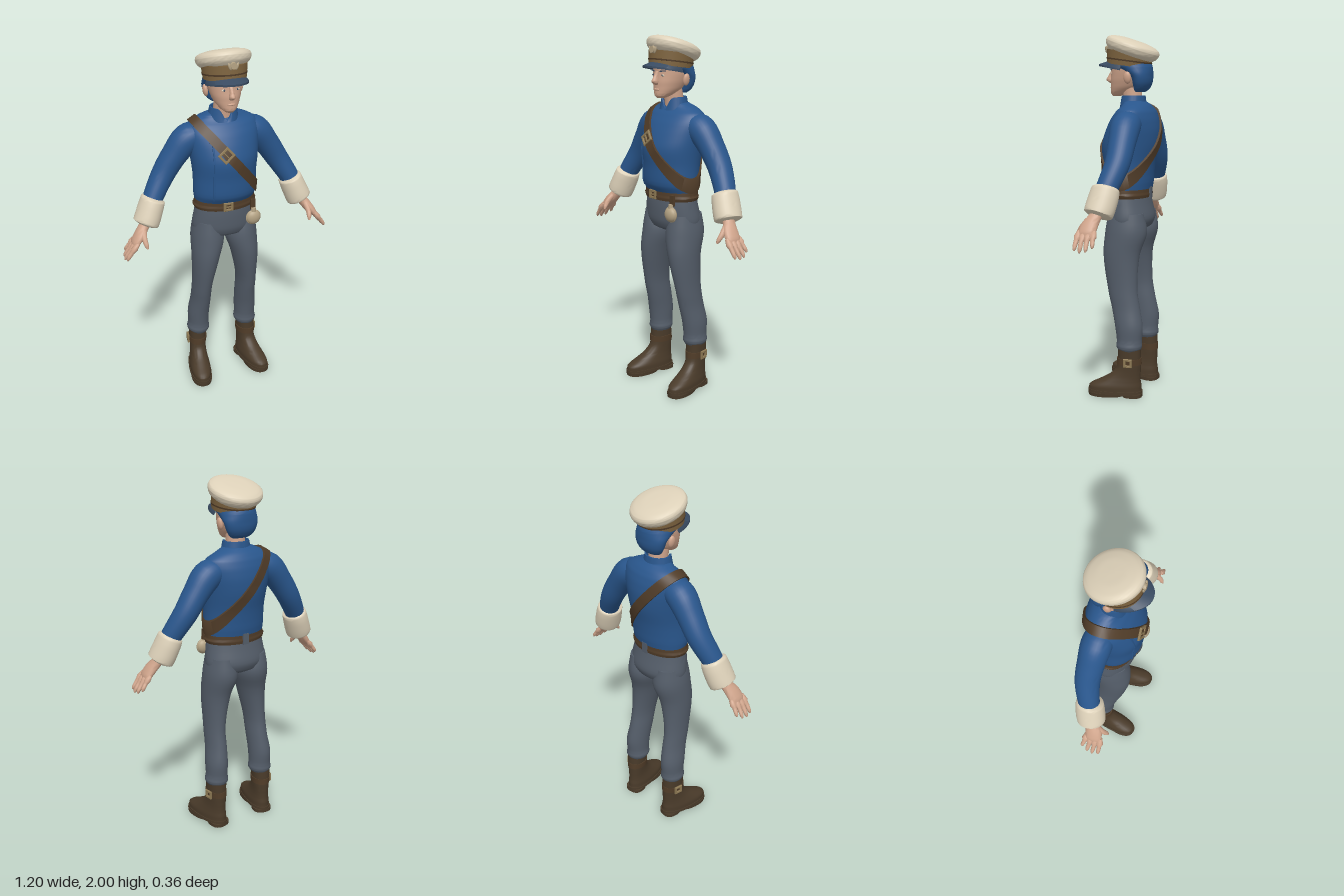
import * as THREE from 'three';
import { toCreasedNormals } from 'three/addons/utils/BufferGeometryUtils.js';

const V = (x, y, z) => new THREE.Vector3(x, y, z);
const mat = (name, color) => {
  const m = new THREE.MeshStandardMaterial({ color });
  m.name = name;
  return m;
};

// Skin a list of point rings; ends are capped, or joined when loop is set
function grid(rings, { loop = false, cap = true } = {}) {
  const n = rings[0].length, m = rings.length, pos = [], idx = [];
  rings.forEach(r => r.forEach(p => pos.push(p.x, p.y, p.z)));
  for (let i = 0; i < (loop ? m : m - 1); i++) {
    for (let j = 0; j < n; j++) {
      const a = i * n + j, b = i * n + (j + 1) % n, i2 = ((i + 1) % m) * n;
      const c = i2 + (j + 1) % n, d = i2 + j;
      idx.push(a, b, c, a, c, d);
    }
  }
  if (!loop && cap) {
    for (const [r, flip] of [[0, true], [m - 1, false]]) {
      const c = rings[r].reduce((s, p) => s.add(p), V(0, 0, 0)).divideScalar(n), k = pos.length / 3;
      pos.push(c.x, c.y, c.z);
      for (let j = 0; j < n; j++) {
        const a = r * n + j, b = r * n + (j + 1) % n;
        idx.push(...(flip ? [k, b, a] : [k, a, b]));
      }
    }
  }
  const g = new THREE.BufferGeometry();
  g.setAttribute('position', new THREE.Float32BufferAttribute(pos, 3));
  g.setIndex(idx);
  return toCreasedNormals(g, 0.9);
}

// Loft of superellipses; each section is [x, y, z, radius across, radius in depth]
function loft(sections, { flat = true, n = 2, seg = 32, steps = 4 } = {}) {
  const path = new THREE.CatmullRomCurve3(sections.map(s => V(s[0], s[1], s[2])));
  const size = new THREE.CatmullRomCurve3(sections.map(s => V(s[3], s[4], 0)));
  const count = (sections.length - 1) * steps, rings = [];
  const up = Math.sign(sections.at(-1)[1] - sections[0][1]);
  const pw = v => Math.sign(v) * Math.abs(v) ** (2 / n);
  for (let i = 0; i <= count; i++) {
    const c = path.getPoint(i / count), r = size.getPoint(i / count);
    const t = flat ? V(0, up, 0) : path.getTangent(i / count);
    const v = V(0, 0, 1).addScaledVector(t, -t.z).normalize();
    const u = t.clone().cross(v);
    rings.push(Array.from({ length: seg }, (_, j) => {
      const a = j / seg * Math.PI * 2;
      return c.clone().addScaledVector(u, pw(Math.sin(a)) * r.x).addScaledVector(v, pw(Math.cos(a)) * r.y);
    }));
  }
  return grid(rings);
}

// Shorthand for centred sections: [y, radius x, centre z, radius z]
const centred = (list, x = 0) => list.map(([y, rx, z, rz]) => [x, y, z, rx, rz]);

const TORSO = [[1.16, .172, -.008, .12], [1.2, .178, 0, .135], [1.3, .178, -.003, .142], [1.4, .188, -.01, .156],
  [1.48, .198, -.025, .145], [1.54, .203, -.036, .125], [1.585, .19, -.045, .1], [1.615, .14, -.048, .075], [1.64, .08, -.035, .058]];

// Distance from a point along a direction to the jacket surface
function reach(o, d) {
  let lo = 0, hi = 0.6;
  for (let k = 0; k < 24; k++) {
    const r = (lo + hi) / 2, p = o.clone().addScaledVector(d, r);
    let i = TORSO.findIndex(s => s[0] > p.y), inside = i !== -1;
    if (inside) {
      i = Math.max(i, 1);
      const A = TORSO[i - 1], B = TORSO[i], f = Math.max(0, (p.y - A[0]) / (B[0] - A[0]));
      const [, rx, z, rz] = A.map((v, q) => v + (B[q] - v) * f);
      inside = (p.x / rx) ** 2 + ((p.z - z) / rz) ** 2 < 1;
    }
    if (inside) lo = r; else hi = r;
  }
  return lo;
}

function buckleGeometry(w, h) {
  const s = new THREE.Shape(), k = new THREE.Path(), t = 0.009;
  const rect = (p, a, b) => p.moveTo(-a, -b).lineTo(a, -b).lineTo(a, b).lineTo(-a, b).closePath();
  rect(s, w / 2, h / 2);
  rect(k, w / 2 - t, h / 2 - t);
  s.holes.push(k);
  return new THREE.ExtrudeGeometry(s, { depth: 0.008, bevelSize: 0.002, bevelThickness: 0.002, bevelSegments: 1 });
}

export function createModel() {
  const root = new THREE.Group();
  root.name = 'uniformedFigure';
  const blue = mat('jacketBlue', 0x29568c), grey = mat('trouserGrey', 0x545d69), boot = mat('bootBrown', 0x4a3b2a);
  const leather = mat('strapLeather', 0x503c28), cream = mat('creamCloth', 0xdcd0b8), skin = mat('skin', 0xcfa48b);
  const bandMat = mat('bandOchre', 0x7f6540), visorMat = mat('visorSlate', 0x394b61);
  const metal = mat('buckleMetal', 0x8c7853), tan = mat('flaskTan', 0xb3a283);
  const add = (name, geo, m, parent = root) => {
    const mesh = new THREE.Mesh(geo, m);
    mesh.name = name;
    parent.add(mesh);
    return mesh;
  };
  const group = (name, x, y, z) => {
    const g = new THREE.Group();
    g.name = name;
    g.position.set(x, y, z);
    root.add(g);
    return g;
  };
  const blob = (name, m, p, s, parent = root) => {
    const b = add(name, new THREE.SphereGeometry(1, 24, 16), m, parent);
    b.position.set(...p);
    b.scale.set(...s);
    return b;
  };

  // Jacket, overlapping front edge and collar with a notch
  add('jacket', loft(centred(TORSO), { seg: 48 }), blue);
  const edge = [];
  for (let y = 1.18; y < 1.57; y += 0.03) {
    const z = reach(V(-.1, y, -.03), V(0, 0, 1)) - .03;
    edge.push([[-.105, .004], [-.105, -.01], [-.095, -.01], [-.095, .004]].map(([x, o]) => V(x, y, z + o)).reverse());
  }
  add('jacketFrontEdge', grid(edge), blue).geometry.computeBoundingSphere();
  const collarRing = (rx, rz, y, dip) => Array.from({ length: 48 }, (_, j) => {
    const a = j / 48 * Math.PI * 2, f = Math.atan2(Math.sin(a), Math.cos(a));
    return V(rx * Math.sin(a), y - dip * Math.exp(-((f / .4) ** 2)), -.026 + rz * Math.cos(a));
  });
  add('collar', grid([collarRing(.088, .075, 1.6, 0), collarRing(.073, .066, 1.67, .062),
    collarRing(.065, .058, 1.67, .062), collarRing(.065, .058, 1.6, 0)], { cap: false }), blue);

  // Cross strap wrapped around the chest from right shoulder to left waist
  const d1 = V(.64, -.768, 0), w = V(.768, .64, 0), rings = [];
  for (let i = 0; i < 72; i++) {
    const a = i / 72 * Math.PI * 2;
    const d = d1.clone().multiplyScalar(Math.cos(a)).add(V(0, 0, Math.sin(a)));
    rings.push([[.013, -.026], [.013, .026], [-.012, .026], [-.012, -.026]].map(([out, side]) => {
      const o = V(0, 1.415, -.01).addScaledVector(w, side);
      return o.clone().addScaledVector(d, reach(o, d) + out);
    }));
  }
  add('crossStrap', grid(rings, { loop: true }), leather);
  const sb = group('strapBuckle', -.04, 1.45, reach(V(-.04, 1.45, 0), V(0, 0, 1)) + .008);
  sb.rotation.set(-.2, -.08, -.876);
  add('buckleFrame', buckleGeometry(.06, .068), metal, sb);
  add('bucklePin', new THREE.BoxGeometry(.05, .007, .008), metal, sb).position.z = .008;

  // Trousers and belt
  add('hips', loft(centred([[.925, .1, -.02, .06], [.95, .168, -.02, .105], [1.0, .184, -.02, .123],
    [1.08, .174, -.01, .116], [1.16, .163, -.005, .105]]), { seg: 40 }), grey);
  add('belt', loft(centred([[1.112, .175, -.007, .118], [1.138, .175, -.007, .118], [1.166, .172, -.007, .117]]), { seg: 48 }), leather);
  add('beltBuckle', buckleGeometry(.05, .046), metal).position.set(-.02, 1.139, .11);
  add('beltPin', new THREE.BoxGeometry(.03, .006, .006), metal).position.set(-.02, 1.139, .117);
  add('backBeltLoop', new THREE.BoxGeometry(.035, .062, .012), grey).position.set(0, 1.139, -.126);

  // Flask hanging from the belt
  const flask = group('flask', .128, 1.05, .112);
  blob('flaskBody', tan, [0, 0, 0], [.042, .042, .027], flask);
  add('flaskRim', new THREE.TorusGeometry(.039, .006, 8, 32), tan, flask);
  add('flaskNeck', new THREE.CylinderGeometry(.013, .015, .025, 16), tan, flask).position.y = .045;
  add('flaskTab', new THREE.BoxGeometry(.028, .06, .014), leather, flask).position.set(0, .075, -.01);

  for (const s of [1, -1]) {
    const side = s > 0 ? 'left' : 'right';
    const mx = list => list.map(([x, ...r]) => [s * x, ...r]);

    // Leg
    add(side + 'TrouserLeg', loft(mx([[.105, 1.03, -.02, .07, .1], [.099, .92, -.018, .093, .119], [.117, .8, .002, .077, .104],
      [.137, .6, -.012, .055, .084], [.14, .5, -.032, .056, .081], [.148, .4, -.052, .061, .079], [.149, .32, -.055, .06, .071],
      [.15, .288, -.055, .066, .073], [.15, .265, -.055, .056, .063]])), grey);

    // Boot with split sole and ankle strap
    const b = group(side + 'Boot', s * .155, 0, -.06);
    b.rotation.y = s * .17;
    add('bootUpper', loft(centred([[.03, .06, .083, .151], [.055, .06, .082, .149], [.09, .053, .053, .115],
      [.12, .048, .027, .088], [.16, .047, .007, .069], [.21, .049, .002, .064], [.275, .052, .002, .063]]), { n: 2.3 }), boot, b);
    add('bootWelt', loft(centred([[.017, .064, .083, .155], [.034, .064, .083, .155]]), { n: 2.3, steps: 1 }), boot, b);
    add('bootHeel', loft(centred([[0, .055, -.015, .056], [.02, .056, -.015, .056]]), { n: 2.6, steps: 1 }), boot, b);
    add('bootSole', loft(centred([[0, .06, .135, .1], [.02, .062, .135, .102]]), { n: 2.3, steps: 1 }), boot, b);
    add('ankleStrap', loft(centred([[.187, .053, .003, .071], [.222, .055, .003, .069]]), { steps: 1 }), leather, b);
    const ab = add('ankleBuckle', buckleGeometry(.044, .044), metal, b);
    ab.position.set(s * .053, .204, .003);
    ab.rotation.y = s * Math.PI / 2;

    // Sleeve and turned-back cuff
    add(side + 'Sleeve', loft(mx([[.12, 1.535, -.045, .06, .07], [.195, 1.502, -.05, .08, .081], [.265, 1.42, -.055, .07, .073],
      [.33, 1.322, -.055, .064, .067], [.39, 1.225, -.032, .057, .06], [.42, 1.17, -.015, .053, .055]]), { flat: false }), blue);
    add(side + 'Cuff', loft(mx([[.401, 1.205, -.02, .05, .055], [.406, 1.194, -.019, .066, .074], [.42, 1.158, -.014, .069, .079],
      [.442, 1.104, -.004, .071, .08], [.457, 1.07, .003, .071, .077], [.462, 1.06, .005, .05, .055]]), { flat: false }), cream);

    // Hand with four fingers and thumb
    const h = group(side + 'Hand', 0, 0, 0);
    const limb = (name, list, seg = 12) => add(name, loft(mx(list), { flat: false, seg, steps: 3 }), skin, h);
    limb('palm', [[.445, 1.1, .005, .03, .034], [.475, 1.055, .015, .028, .035], [.505, 1.015, .032, .027, .046],
      [.532, .98, .038, .021, .047], [.545, .962, .039, .01, .038]], 20);
    for (let i = 0; i < 4; i++) {
      const z = .077 - i * .026, f = .082 - i * .031, l = [.92, 1, .95, .76][i];
      limb('finger' + (i + 1), [[.525, .99, z, .012, .013], [.525 + .036 * l, .99 - .045 * l, (z + f) / 2 + .002, .012, .013],
        [.525 + .065 * l, .99 - .085 * l, f, .01, .01], [.525 + .071 * l, .99 - .099 * l, f, .004, .004]]);
    }
    limb('thumb', [[.482, 1.045, .04, .018, .018], [.488, 1.01, .075, .015, .016], [.484, .98, .098, .012, .012], [.481, .963, .107, .005, .005]]);

    // Ear, eye and brow
    blob(side + 'Ear', skin, [s * .098, 1.765, -.025], [.014, .033, .021]).rotation.z = -s * .15;
    blob(side + 'Eye', cream, [s * .036, 1.79, .088], [.014, .006, .005]);
    blob(side + 'Pupil', visorMat, [s * .036, 1.79, .0915], [.005, .0055, .003]);
    const brow = add(side + 'Brow', new THREE.BoxGeometry(.034, .006, .008), visorMat);
    brow.position.set(s * .038, 1.812, .09);
    brow.rotation.set(0, s * .3, s * .1);
  }

  // Head
  add('neck', loft(centred([[1.57, .06, -.03, .055], [1.63, .053, -.025, .052], [1.73, .052, -.015, .055]])), skin);
  add('head', loft(centred([[1.668, .022, .07, .022], [1.682, .042, .052, .051], [1.715, .066, .02, .083], [1.755, .081, .004, .099],
    [1.8, .09, -.008, .106], [1.85, .092, -.01, .108], [1.89, .08, -.01, .09]]), { n: 2.1 }), skin);
  add('nose', loft(centred([[1.738, .008, .097, .012], [1.747, .015, .104, .019], [1.757, .016, .109, .024], [1.78, .011, .102, .019],
    [1.81, .01, .093, .01]]), { seg: 16 }), skin);
  blob('lips', skin, [0, 1.714, .099], [.021, .007, .008]);
  add('hair', loft(centred([[1.69, .05, -.065, .025], [1.705, .07, -.073, .038], [1.735, .088, -.078, .049], [1.775, .1, -.073, .059],
    [1.812, .105, -.04, .093], [1.835, .107, -.012, .117], [1.875, .105, -.008, .115]])), blue);

  // Cap: band, tilted crown, visor and plain badge
  const band = group('capBand', 0, 1.866, -.003);
  band.rotation.x = -.14;
  add('bandRing', loft(centred([[-.036, .113, 0, .121], [.04, .121, 0, .13]]), { seg: 48, steps: 1 }), bandMat, band);
  add('bandTrim', loft(centred([[-.012, .118, 0, .1265], [-.004, .119, 0, .1275]]), { seg: 48, steps: 1 }), leather, band);
  const crown = group('capCrown', 0, 1.92, -.018);
  crown.rotation.x = -.33;
  add('crownTop', loft(centred([[-.035, .112, 0, .122], [-.014, .138, 0, .145], [.01, .146, 0, .153], [.028, .141, 0, .147],
    [.041, .118, 0, .123], [.05, .07, 0, .073], [.052, .004, 0, .004]]), { seg: 48 }), cream);
  crown.add(root.getObjectByName('crownTop'));
  const visor = [];
  for (let i = 0; i <= 32; i++) {
    const a = (i / 16 - 1) * 1.45, e = .054 * Math.cos(a) ** .7 + .004, y = 1.822 + .032 * Math.cos(a);
    const at = (r, h) => V((.108 + r * .35) * Math.sin(a), h, -.003 + (.118 + r) * Math.cos(a));
    visor.push([at(e, y - .012), at(e, y - .022), at(-.012, y - .006), at(-.012, y + .01)]);
  }
  add('capVisor', grid(visor), visorMat);
  const badge = group('capBadge', 0, 1.925, .128);
  badge.rotation.x = -.05;
  add('badgeDisc', new THREE.CylinderGeometry(.017, .019, .012, 20).rotateX(Math.PI / 2), tan, badge);
  for (const s of [1, -1]) blob('badgeLeaf', tan, [s * .02, -.003, -.002], [.008, .02, .006], badge).rotation.z = -s * .35;

  return root;
}
